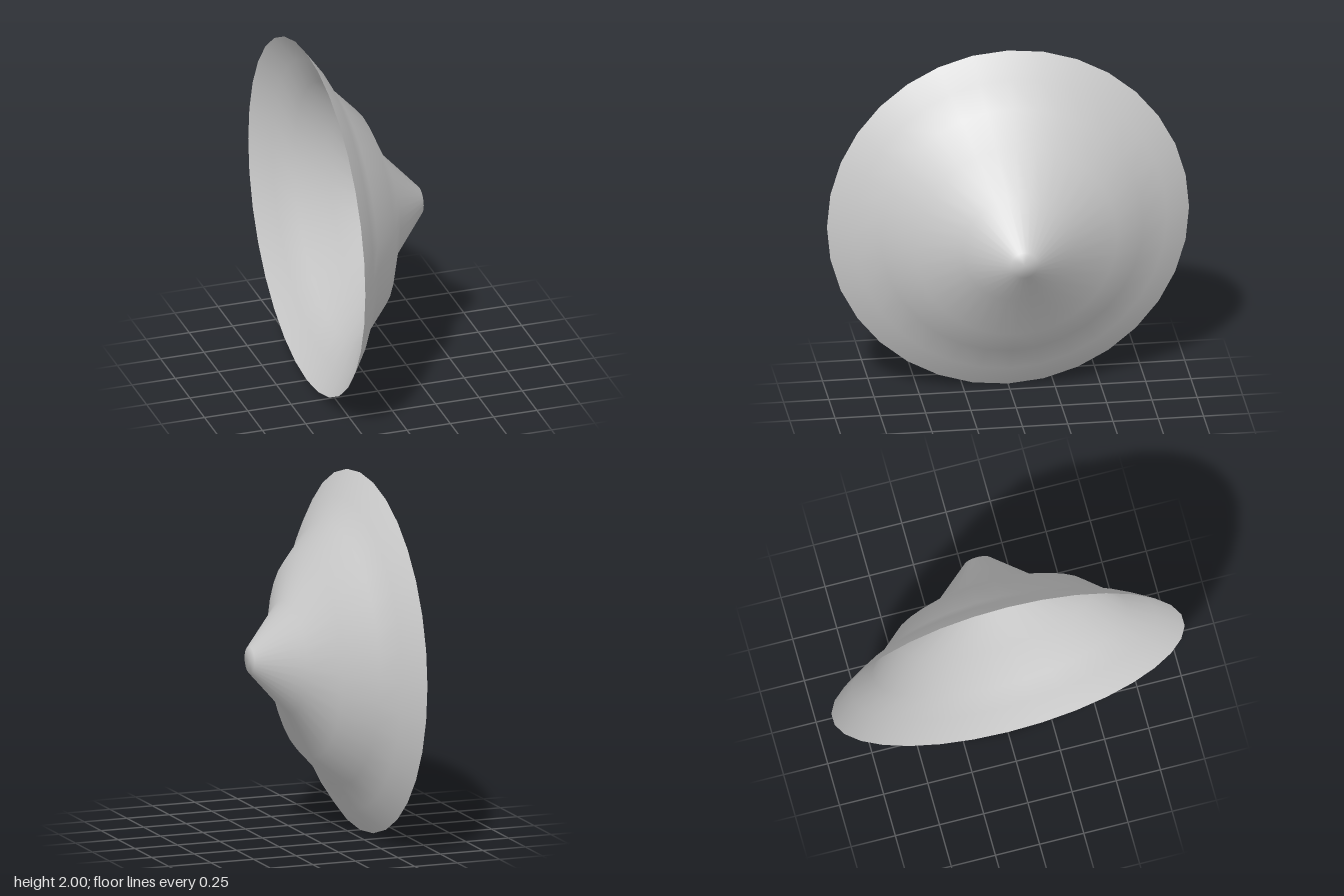
import * as THREE from 'three';

export function createModel() {
  const model = new THREE.Group();

  // Thin open shell: [distance along x, radius] from the wide rim to the closed blunt tip
  const profile = [
    [-0.325, 1], [-0.23, 0.865], [-0.155, 0.725], [0, 0.56],
    [0.11, 0.31], [0.325, 0.075], [0.325, 0],
  ].map(([x, r]) => new THREE.Vector2(r, x));

  const geometry = new THREE.LatheGeometry(profile, 32);
  geometry.rotateZ(-Math.PI / 2); // tip points along +x
  geometry.translate(0, 1, 0);

  const material = new THREE.MeshStandardMaterial({ color: 0xcccccc, side: THREE.DoubleSide });
  const shell = new THREE.Mesh(geometry, material);
  shell.name = 'conicalShell';
  model.add(shell);

  return model;
}
